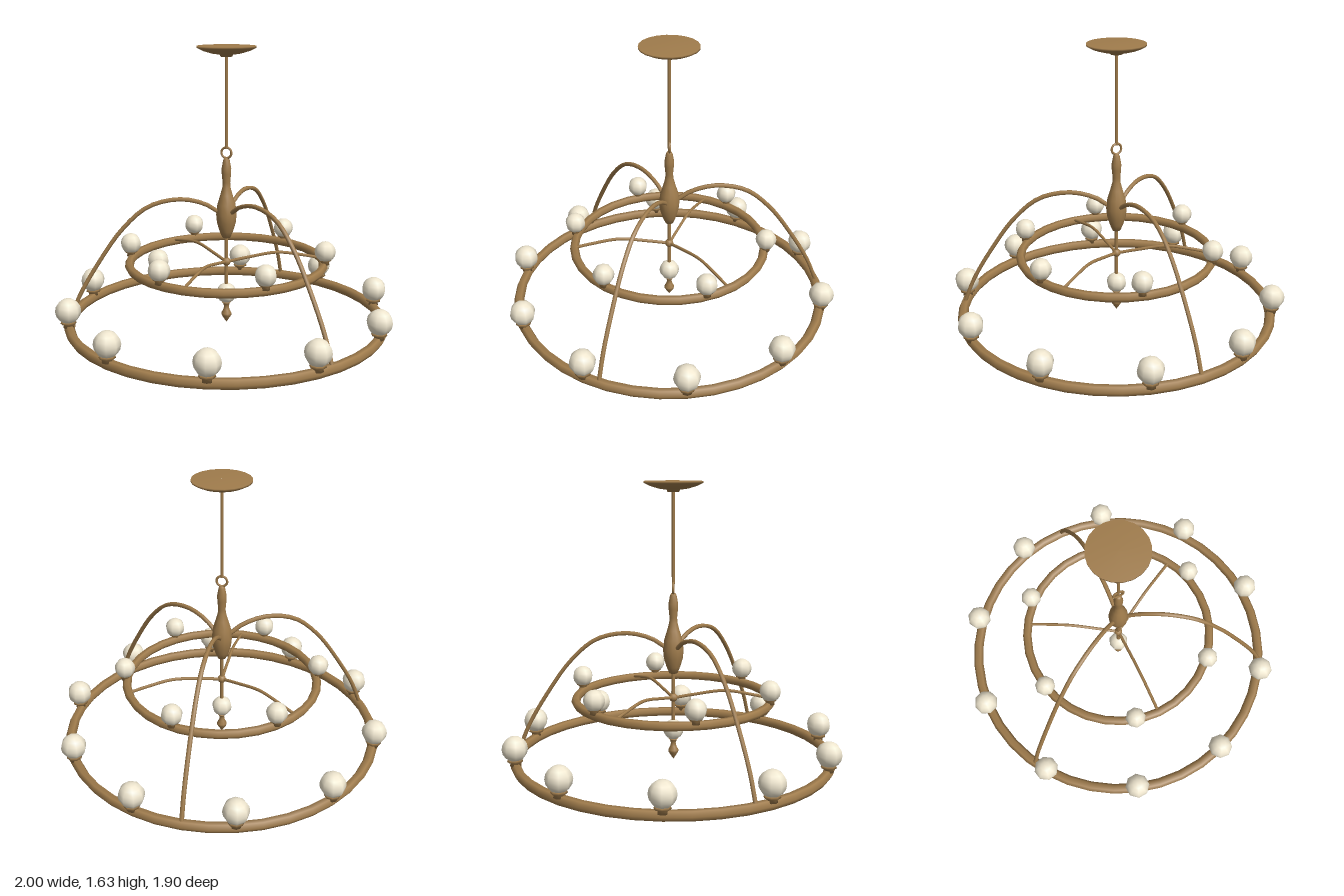
import * as THREE from 'three';

export function createModel() {
  const root = new THREE.Group();
  const bronze = new THREE.MeshStandardMaterial({ color: 0xa07c4c });
  const glass = new THREE.MeshStandardMaterial({ color: 0xefe6cf });

  const add = (name, geometry, material = bronze, parent = root) => {
    const mesh = new THREE.Mesh(geometry, material);
    mesh.name = name;
    parent.add(mesh);
    return mesh;
  };
  // Lathe from [radius, y] pairs listed bottom to top
  const lathe = (points, segments = 12) =>
    new THREE.LatheGeometry(points.map(([r, y]) => new THREE.Vector2(r, y)), segments);
  const rod = (name, r, y0, y1) => {
    add(name, new THREE.CylinderGeometry(r, r, y1 - y0, 8)).position.y = (y0 + y1) / 2;
  };

  // Two horizontal hoops with six-sided tubes
  const hoop = (name, radius, tube, y, segments) => {
    const g = new THREE.TorusGeometry(radius, tube, 6, segments);
    g.rotateX(Math.PI / 2);
    add(name, g).position.y = y;
  };
  hoop('outerRing', 0.92, 0.03, 0.026, 40);
  hoop('innerRing', 0.567, 0.026, 0.372, 32);

  // Globe lamps in little cups, spaced evenly round a hoop
  const lamps = (name, count, start, radius, baseY, globeR, globeY) => {
    const cup = lathe([
      [0.001, baseY - 0.01], [globeR * 0.42, baseY - 0.01], [globeR * 0.36, baseY + 0.006],
      [globeR * 0.62, baseY + 0.016], [globeR * 0.55, baseY + 0.028], [0.001, baseY + 0.028],
    ], 8);
    const globe = new THREE.SphereGeometry(globeR, 8, 8);
    globe.translate(0, globeY, 0);
    for (let i = 0; i < count; i++) {
      const a = start + (i / count) * Math.PI * 2;
      const lamp = new THREE.Group();
      lamp.name = name + (i + 1);
      lamp.position.set(Math.cos(a) * radius, 0, Math.sin(a) * radius);
      lamp.rotation.y = -a;
      add('lampCup', cup, bronze, lamp);
      add('globe', globe, glass, lamp);
      root.add(lamp);
    }
  };
  lamps('outerLamp', 10, 0, 0.925, 0.05, 0.074, 0.139);
  lamps('innerLamp', 6, -Math.PI / 12, 0.575, 0.393, 0.061, 0.46);

  // Curved tubes repeated three times; path given as [distance from axis, y]
  const arms = (name, path, tube, startAngle) => {
    const curve = new THREE.CatmullRomCurve3(path.map(([r, y]) => new THREE.Vector3(r, y, 0)));
    const g = new THREE.TubeGeometry(curve, 24, tube, 6);
    for (let i = 0; i < 3; i++) {
      add(name + (i + 1), g).rotation.y = startAngle + (i * Math.PI * 2) / 3;
    }
  };
  arms('supportArm', [
    [0.02, 0.66], [0.06, 0.685], [0.13, 0.727], [0.27, 0.756], [0.45, 0.717],
    [0.6, 0.59], [0.75, 0.38], [0.86, 0.19], [0.92, 0.04],
  ], 0.013, Math.PI / 2);
  arms('innerSpoke', [
    [0.01, 0.375], [0.12, 0.396], [0.3, 0.422], [0.45, 0.402], [0.56, 0.38],
  ], 0.009, -Math.PI / 2);

  // Central column
  add('body', lathe([
    [0.001, 0.52], [0.024, 0.522], [0.04, 0.56], [0.055, 0.61], [0.06, 0.66], [0.053, 0.72],
    [0.036, 0.775], [0.024, 0.82], [0.022, 0.85], [0.027, 0.9], [0.028, 0.93],
    [0.019, 0.98], [0.012, 0.992], [0.001, 0.992],
  ]));
  add('hangingLoop', new THREE.TorusGeometry(0.031, 0.007, 6, 20)).position.y = 1.022;
  rod('upperRod', 0.009, 1.045, 1.58);
  rod('lowerRod', 0.011, 0.1, 0.53);
  const hub = add('spokeHub', new THREE.SphereGeometry(0.025, 10, 8));
  hub.position.y = 0.375;
  add('centreGlobe', new THREE.SphereGeometry(0.06, 8, 8), glass).position.y = 0.182;
  add('finial', lathe([
    [0.001, 0.002], [0.012, 0.018], [0.029, 0.045], [0.03, 0.058], [0.018, 0.08],
    [0.014, 0.1], [0.02, 0.118], [0.03, 0.128], [0.001, 0.13],
  ], 10));

  // Shallow ceiling canopy
  add('canopy', lathe([
    [0.001, 1.566], [0.033, 1.567], [0.038, 1.578], [0.085, 1.585], [0.135, 1.6],
    [0.168, 1.617], [0.168, 1.627], [0.001, 1.628],
  ], 20));

  return root;
}
